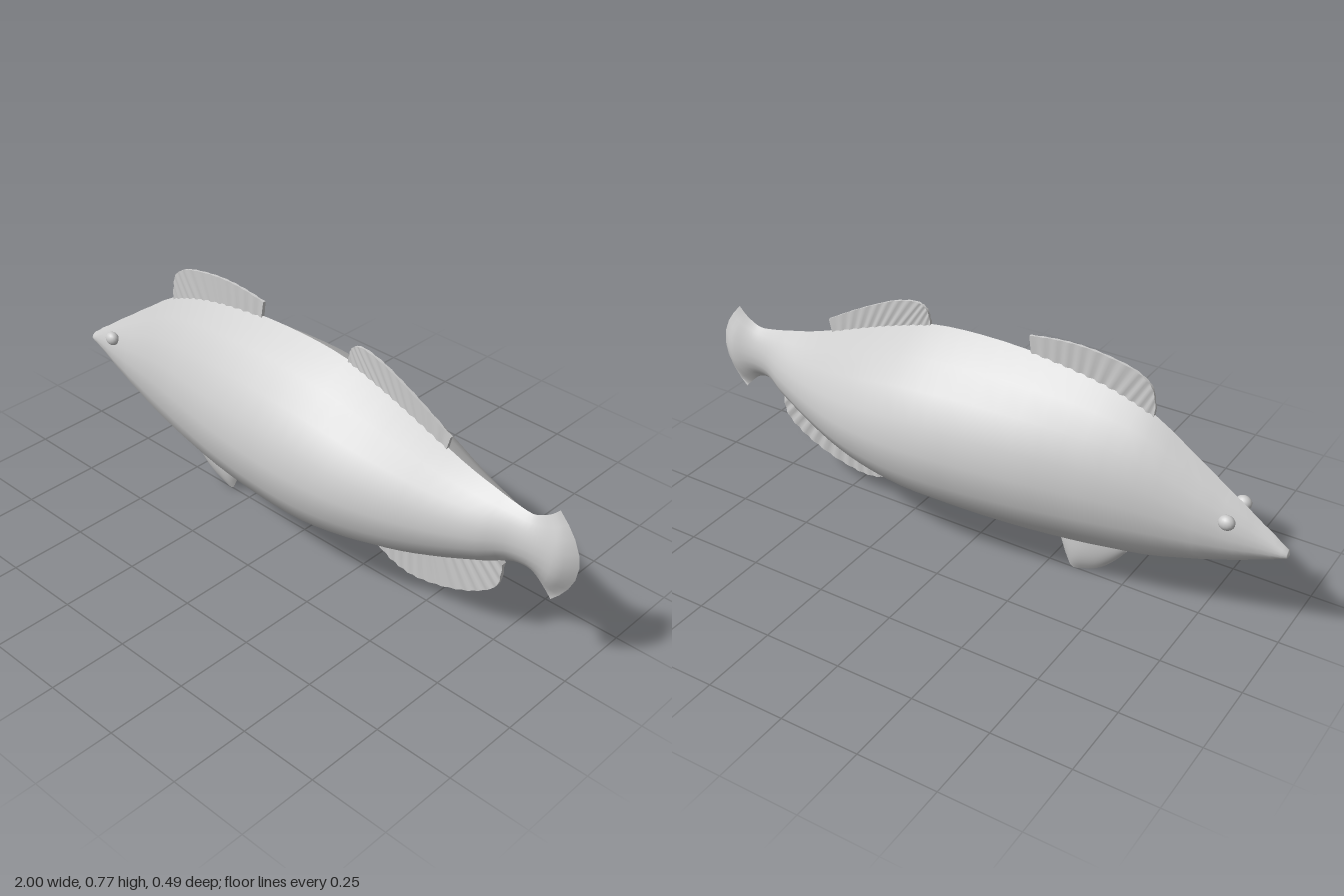
import * as THREE from 'three';

const grey = new THREE.MeshStandardMaterial({ color: 0xcccccc, side: THREE.DoubleSide });

// Body stations from snout to tail rim: x, belly y, back y, half width, backward sweep of the ridges
const stations = [
  [-1, 0.31, 0.312, 0, 0], [-0.995, 0.298, 0.328, 0.014, 0], [-0.95, 0.277, 0.362, 0.024, 0],
  [-0.85, 0.235, 0.432, 0.052, 0], [-0.74, 0.195, 0.508, 0.083, 0], [-0.57, 0.143, 0.62, 0.13, 0],
  [-0.42, 0.118, 0.672, 0.168, 0], [-0.22, 0.104, 0.702, 0.212, 0], [0, 0.1, 0.71, 0.24, 0],
  [0.17, 0.106, 0.696, 0.243, 0], [0.33, 0.138, 0.65, 0.224, 0], [0.46, 0.172, 0.603, 0.187, 0],
  [0.6, 0.222, 0.55, 0.134, 0], [0.72, 0.272, 0.518, 0.086, 0], [0.79, 0.31, 0.502, 0.053, 0],
  [0.85, 0.316, 0.496, 0.04, 0.01], [0.9, 0.304, 0.507, 0.036, 0.03],
  [0.95, 0.277, 0.526, 0.034, 0.05], [1, 0.252, 0.55, 0, 0.077],
];
// Half cross-section from back ridge to belly ridge: side, height
const section = [[0, 1], [0.39, 0.783], [0.7, 0.55], [0.905, 0.267], [1, -0.017],
  [0.967, -0.317], [0.78, -0.583], [0.43, -0.817], [0, -1]];

// One side of the body; the two sides meet in a sharp ridge
function bodyHalf(side) {
  const heights = new THREE.CatmullRomCurve3(stations.map(s => new THREE.Vector3(s[0], s[1], s[2])));
  const widths = new THREE.CatmullRomCurve3(stations.map(s => new THREE.Vector3(s[0], s[3], s[4])));
  const rings = (stations.length - 1) * 3, n = section.length;
  const pos = [], idx = [];
  for (let i = 0; i <= rings; i++) {
    const t = i / rings;
    const h = heights.getPoint(t), w = widths.getPoint(t);
    const mid = (h.y + h.z) / 2, half = (h.z - h.y) / 2;
    for (const [a, b] of section) {
      pos.push(Math.max(-1, stationX(t)) - w.z * b * b, mid + half * b, side * Math.max(0, w.y) * a);
    }
  }
  for (let i = 0; i < rings; i++) {
    for (let j = 0; j < n - 1; j++) {
      const a = i * n + j, b = a + 1, c = a + n, d = c + 1;
      if (side > 0) idx.push(a, b, c, b, d, c);
      else idx.push(a, c, b, b, c, d);
    }
  }
  const g = new THREE.BufferGeometry();
  g.setAttribute('position', new THREE.Float32BufferAttribute(pos, 3));
  g.setIndex(idx);
  g.computeVertexNormals();
  return g;
}

// Position along the body for a spline parameter
function stationX(t) {
  const f = t * (stations.length - 1), i = Math.min(Math.floor(f), stations.length - 2);
  return THREE.MathUtils.lerp(stations[i][0], stations[i + 1][0], f - i);
}

// Fin spanned between a root curve and an outer edge curve, with thickness(u, v)
function fin(name, root, edge, thickness) {
  const curve = pts => new THREE.CatmullRomCurve3(pts.map(p => new THREE.Vector3(p[0], p[1], 0)));
  const lower = curve(root), upper = curve(edge);
  const g = new THREE.BoxGeometry(1, 1, 1, 60, 8, 1);
  const p = g.attributes.position;
  for (let i = 0; i < p.count; i++) {
    const u = p.getX(i) + 0.5, v = p.getY(i) + 0.5;
    const q = lower.getPoint(u).lerp(upper.getPoint(u), v);
    p.setXYZ(i, q.x, q.y, Math.sign(p.getZ(i)) * thickness(u, v));
  }
  // Fins hanging down come out mirrored, so turn their faces round
  if (edge[2][1] < root[0][1]) {
    const ix = g.index;
    for (let i = 0; i < ix.count; i += 3) {
      const a = ix.getX(i);
      ix.setX(i, ix.getX(i + 1));
      ix.setX(i + 1, a);
    }
  }
  g.computeVertexNormals();
  const m = new THREE.Mesh(g, grey);
  m.name = name;
  return m;
}

export function createModel() {
  const model = new THREE.Group();
  model.name = 'fish';

  // Body and tail
  const body = new THREE.Group();
  body.name = 'bodyAndTail';
  for (const side of [1, -1]) {
    const half = new THREE.Mesh(bodyHalf(side), grey);
    half.name = side > 0 ? 'bodyFrontSide' : 'bodyBackSide';
    body.add(half);
  }
  model.add(body);

  // Ribbed fins
  const ribbed = (t, ribs) => (u, v) => t * (0.75 + 0.25 * Math.cos(u * ribs * Math.PI * 2)) * (1 - 0.25 * v);
  model.add(fin('frontDorsalFin',
    [[-0.565, 0.6], [-0.45, 0.64], [-0.32, 0.67], [-0.175, 0.68]],
    [[-0.57, 0.645], [-0.555, 0.705], [-0.51, 0.738], [-0.42, 0.76], [-0.33, 0.769], [-0.25, 0.766], [-0.165, 0.755]],
    ribbed(0.007, 12)));
  model.add(fin('rearDorsalFin',
    [[0.175, 0.67], [0.3, 0.64], [0.42, 0.59], [0.54, 0.55]],
    [[0.175, 0.705], [0.187, 0.74], [0.215, 0.755], [0.29, 0.742], [0.37, 0.708], [0.46, 0.662], [0.555, 0.608]],
    ribbed(0.007, 12)));
  model.add(fin('analFin',
    [[0.29, 0.15], [0.45, 0.19], [0.6, 0.24], [0.74, 0.31]],
    [[0.285, 0.125], [0.36, 0.088], [0.43, 0.073], [0.51, 0.082], [0.61, 0.112], [0.69, 0.152], [0.75, 0.205], [0.763, 0.285]],
    ribbed(0.011, 14)));

  // Plump pelvic fin
  model.add(fin('pelvicFin',
    [[-0.51, 0.16], [-0.43, 0.15], [-0.36, 0.14], [-0.285, 0.14]],
    [[-0.51, 0.13], [-0.47, 0.08], [-0.42, 0.035], [-0.37, 0.013], [-0.33, 0.004], [-0.31, 0.035], [-0.285, 0.105]],
    (u, v) => 0.001 + 0.026 * Math.sqrt(Math.sin(Math.PI * u)) * (1 - v ** 3)));

  // Eyes
  for (const side of [1, -1]) {
    const eye = new THREE.Mesh(new THREE.SphereGeometry(0.025, 16, 12), grey);
    eye.name = side > 0 ? 'leftEye' : 'rightEye';
    eye.scale.set(1, 0.9, 0.8);
    eye.position.set(-0.83, 0.39, side * 0.057);
    model.add(eye);
  }
  return model;
}
